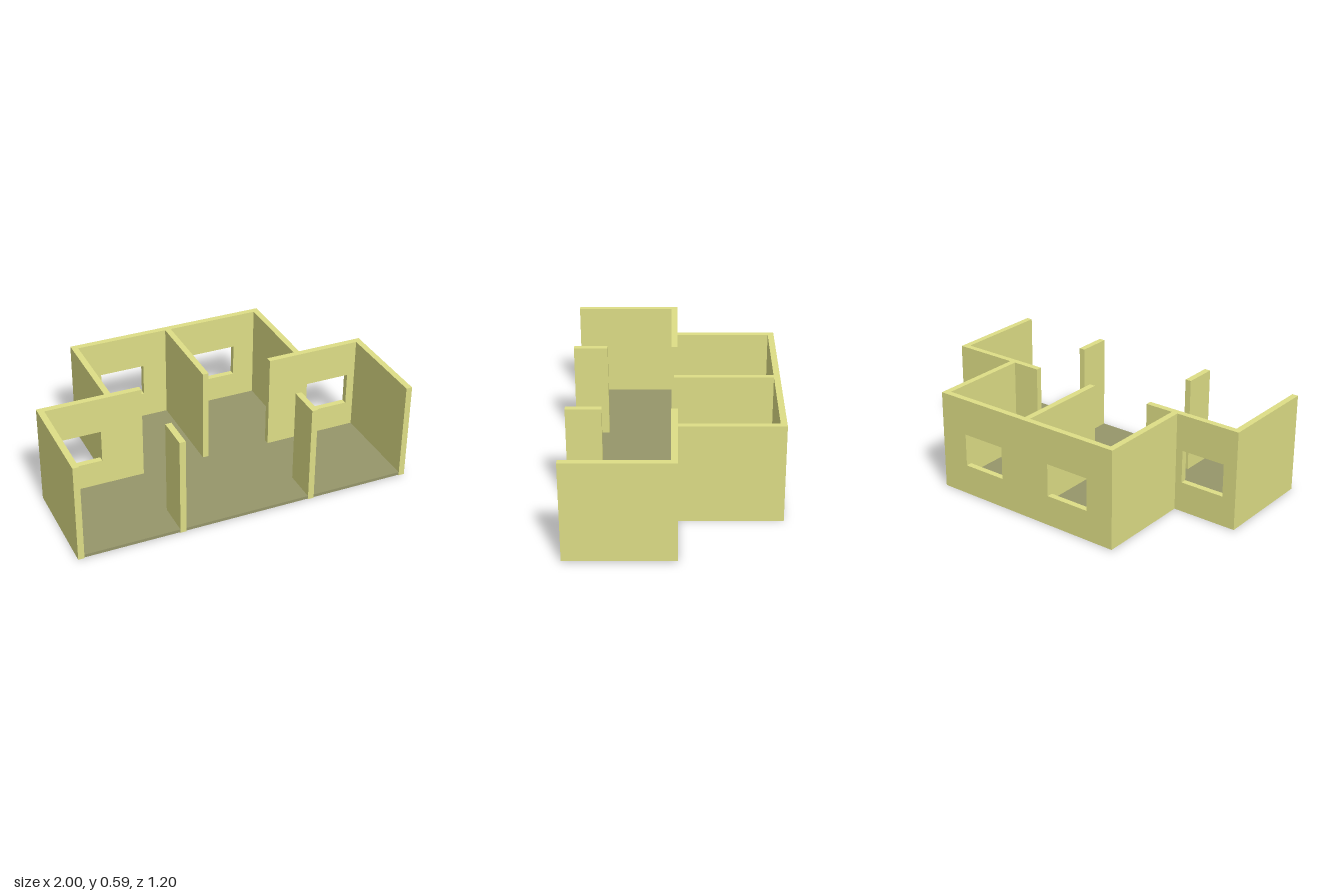
import * as THREE from 'three';

const HEIGHT = 0.59;
const THICK = 0.036;
const WINDOW = { bottom: 0.18, top: 0.375, width: 0.27 };

export function createModel() {
  const model = new THREE.Group();
  model.name = 'floorPlan';
  const wallPaint = new THREE.MeshStandardMaterial({ color: 0xdede86 });
  wallPaint.name = 'pale yellow wall';
  const floorPaint = new THREE.MeshStandardMaterial({ color: 0x96966a });
  floorPaint.name = 'olive floor';

  const add = (name, geometry, material) => {
    const mesh = new THREE.Mesh(geometry, material);
    mesh.name = name;
    model.add(mesh);
    return mesh;
  };

  // Plain wall running front to back, from z0 to z1
  const sideWall = (name, x, z0, z1) => {
    add(name, new THREE.BoxGeometry(THICK, HEIGHT, z1 - z0), wallPaint)
      .position.set(x, HEIGHT / 2, (z0 + z1) / 2);
  };

  // Wall running left to right from x0 to x1, pierced by one window
  const windowWall = (name, x0, x1, z, windowX) => {
    const shape = new THREE.Shape();
    shape.moveTo(x0, 0).lineTo(x1, 0).lineTo(x1, HEIGHT).lineTo(x0, HEIGHT).closePath();
    const a = windowX - WINDOW.width / 2, b = windowX + WINDOW.width / 2;
    const hole = new THREE.Path();
    hole.moveTo(a, WINDOW.bottom).lineTo(a, WINDOW.top).lineTo(b, WINDOW.top)
      .lineTo(b, WINDOW.bottom).closePath();
    shape.holes.push(hole);
    const geometry = new THREE.ExtrudeGeometry(shape, { depth: THICK, bevelEnabled: false });
    add(name, geometry, wallPaint).position.z = z;
  };

  // T-shaped floor, set just above the bottom edges of the walls
  const outline = [[-1, -0.6], [1, -0.6], [1, 0.012], [0.6, 0.012], [0.6, 0.6],
    [-0.6, 0.6], [-0.6, 0.012], [-1, 0.012]].map(([x, y]) => new THREE.Vector2(x * 0.998, y * 0.998));
  const floor = new THREE.ExtrudeGeometry(new THREE.Shape(outline), { depth: 0.018, bevelEnabled: false });
  floor.rotateX(-Math.PI / 2);
  add('floor', floor, floorPaint).position.y = 0.004;

  // Mirrored walls of the two wings and the two back rooms
  for (const [side, s] of [['left', 1], ['right', -1]]) {
    sideWall(`${side}OuterWall`, s * (1 - THICK / 2), -0.016, 0.6);
    sideWall(`${side}BackSideWall`, s * (0.605 - THICK / 2), -0.6, -0.016);
    sideWall(`${side}FrontPartition`, s * 0.391, 0.4, 0.6);
    const wing = [s * (1 - THICK), s * 0.398].sort((p, q) => p - q);
    windowWall(`${side}WingWall`, ...wing, -0.016, s * 0.782);
    const back = [s * (0.605 - THICK), s * THICK / 2].sort((p, q) => p - q);
    windowWall(`${side}BackWall`, ...back, -0.6, s * 0.3);
  }

  // Partition between the back rooms
  sideWall('middlePartition', 0, -0.6, 0.005);

  return model;
}
